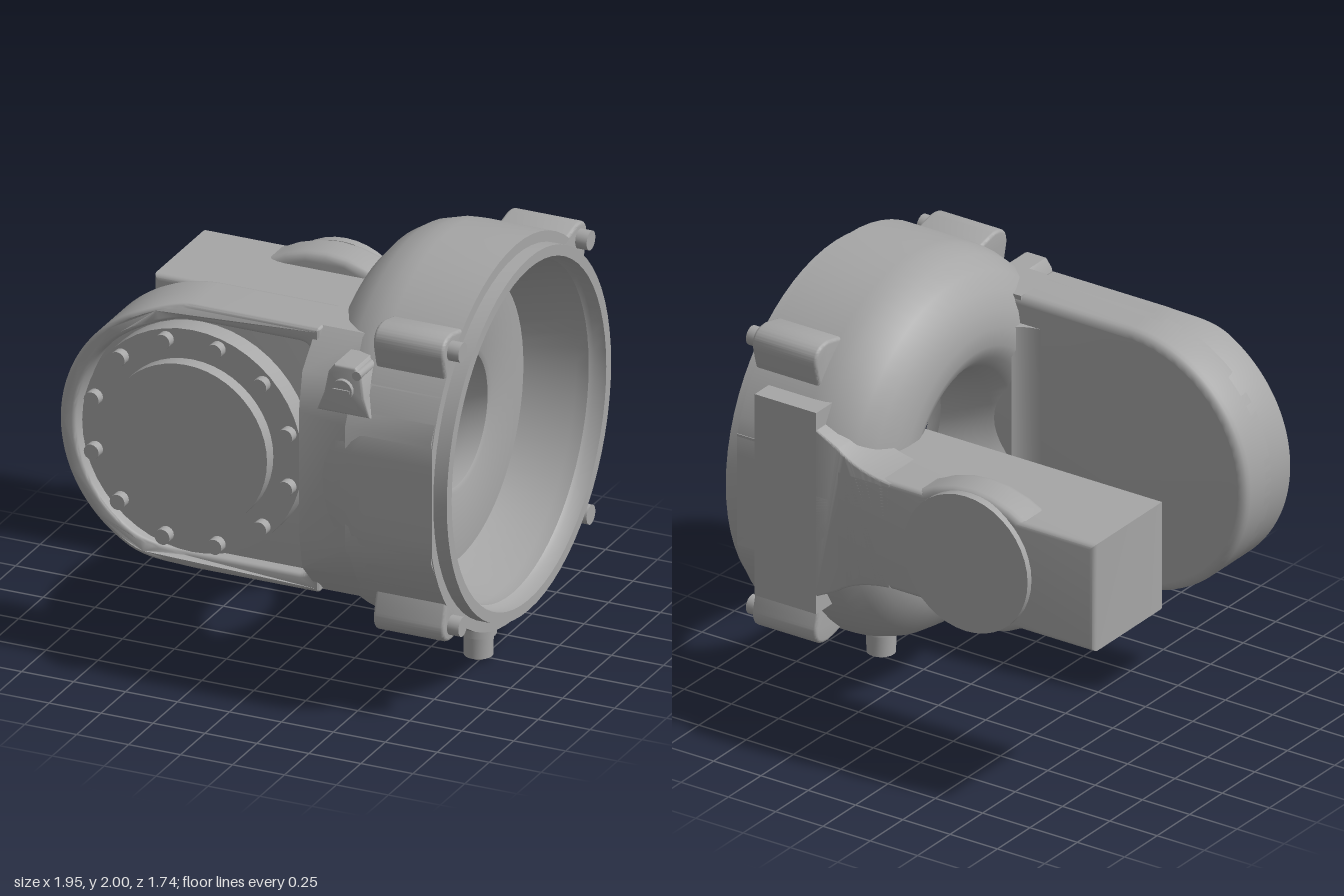
import * as THREE from 'three';
import { toCreasedNormals } from 'three/addons/utils/BufferGeometryUtils.js';

const CY = 1.11, CZ = 0.01; // axis of the round housing, running along x
const ARM_X = -0.32;        // shared axis of the two arm ends

export function createModel() {
  const model = new THREE.Group();
  model.name = 'wristHousing';
  const castMetal = new THREE.MeshStandardMaterial({ color: 0xa6a6a6 });
  castMetal.name = 'castMetal';

  const add = (name, geo, angle = 0.6) => {
    const mesh = new THREE.Mesh(toCreasedNormals(geo, angle), castMetal);
    mesh.name = name;
    model.add(mesh);
    return mesh;
  };
  const poly = pts => new THREE.Shape(pts.map(p => new THREE.Vector2(p[0], p[1])));

  // Extrude a front-facing (x, y) shape between two z values
  const extrudeZ = (shape, z0, z1, b = 0) => {
    const g = new THREE.ExtrudeGeometry(shape, {
      depth: z1 - z0 - 2 * b, curveSegments: 32, bevelEnabled: b > 0,
      bevelSize: b, bevelOffset: -b, bevelThickness: b, bevelSegments: 3,
    });
    return g.translate(0, 0, z0 + b);
  };
  // Extrude a shape drawn as (-z, y) about the housing axis between two x values
  const extrudeX = (shape, x0, x1, b = 0) =>
    extrudeZ(shape, x0, x1, b).rotateY(Math.PI / 2).translate(0, CY, CZ);

  const cylZ = (r, x, y, z0, z1, n = 32) =>
    new THREE.CylinderGeometry(r, r, z1 - z0, n).rotateX(Math.PI / 2).translate(x, y, (z0 + z1) / 2);
  const cylX = (r, y, z, x0, x1, n = 20) =>
    new THREE.CylinderGeometry(r, r, x1 - x0, n).rotateZ(-Math.PI / 2).translate((x0 + x1) / 2, y, z);
  const cylY = (rTop, rBottom, x, z, y0, y1) =>
    new THREE.CylinderGeometry(rTop, rBottom, y1 - y0, 24).translate(x, (y0 + y1) / 2, z);

  // Round housing: closed (radius, x) profile with a flared bore, rounded back and front cavity
  const profile = [
    [0.31, 0.63], [0.31, 0.56], [0.325, 0.48], [0.35, 0.39], [0.39, 0.31], [0.44, 0.26], [0.5, 0.235],
    [0.58, 0.235], [0.66, 0.25], [0.74, 0.29], [0.81, 0.35], [0.86, 0.43], [0.885, 0.52], [0.89, 0.58],
    [0.89, 0.91], [0.84, 0.91], [0.84, 0.975], [0.79, 0.975], [0.785, 0.92], [0.77, 0.9],
    [0.77, 0.84], [0.665, 0.5], [0.655, 0.5], [0.655, 0.64], [0.33, 0.64], [0.31, 0.63],
  ].map(p => new THREE.Vector2(p[0], p[1]));
  const housing = new THREE.LatheGeometry(profile, 64).rotateZ(-Math.PI / 2).translate(0, CY, CZ);
  const hp = housing.attributes.position;
  for (let i = 0; i < hp.count; i++) hp.setZ(i, THREE.MathUtils.clamp(hp.getZ(i), -0.84, 0.865)); // flat sides
  add('housing', housing);

  // Screw lugs at the four corners
  for (const sy of [1, -1]) for (const sz of [1, -1]) {
    const lug = new THREE.Shape();
    lug.moveTo(sz * 0.69, sy * 0.49);
    lug.quadraticCurveTo(sz * 0.715, sy * 0.55, sz * 0.735, sy * 0.64);
    lug.quadraticCurveTo(sz * 0.745, sy * 0.73, sz * 0.64, sy * 0.73);
    lug.quadraticCurveTo(sz * 0.55, sy * 0.715, sz * 0.49, sy * 0.69);
    lug.lineTo(sz * 0.575, sy * 0.575);
    add('screwLug', extrudeX(lug, 0.57, 0.91, 0.015));
    add('lugScrew', cylX(0.045, CY + sy * 0.655, CZ + sz * 0.655, 0.9, 0.965));
  }

  // Front arm: stadium body with a raised rim around the recess
  const stadium = (r, right, corner) => {
    const s = new THREE.Shape();
    s.moveTo(right - corner, CY + r);
    s.lineTo(ARM_X, CY + r);
    s.absarc(ARM_X, CY, r, Math.PI / 2, Math.PI * 1.5, false);
    s.lineTo(right - corner, CY - r);
    s.quadraticCurveTo(right, CY - r, right, CY - r + corner);
    s.lineTo(right, CY + r - corner);
    s.quadraticCurveTo(right, CY + r, right - corner, CY + r);
    return s;
  };
  add('frontArm', extrudeZ(stadium(0.63, 0.42, 0.03), 0.365, 0.6, 0.04));
  const rimShape = stadium(0.63, 0.27, 0.01);
  rimShape.holes.push(stadium(0.555, 0.23, 0.06));
  const rim = extrudeZ(rimShape, 0.5, 0.72, 0.018);
  const rp = rim.attributes.position;
  for (let i = 0; i < rp.count; i++) { // the rim dips toward the housing
    if (rp.getZ(i) > 0.65) rp.setZ(i, rp.getZ(i) - 0.06 * THREE.MathUtils.smoothstep(rp.getX(i), -0.62, -0.36));
  }
  add('frontArmRim', rim, 0.9);

  // Fillet between the front arm and the back of the housing
  const fillet = new THREE.Shape();
  fillet.moveTo(0.08, -0.37);
  fillet.quadraticCurveTo(0.2, -0.365, 0.25, -0.31);
  fillet.lineTo(0.26, -0.4);
  fillet.lineTo(0.08, -0.4);
  add('armFillet', new THREE.ExtrudeGeometry(fillet, { depth: 1, bevelEnabled: false })
    .rotateX(-Math.PI / 2).translate(0, CY - 0.5, 0));

  // Bearing cover and its ring of bolts
  add('coverFlange', cylZ(0.53, ARM_X, CY, 0.59, 0.70, 48));
  add('coverDisc', cylZ(0.39, ARM_X, CY, 0.69, 0.765, 48));
  for (let i = 0; i < 12; i++) {
    const a = (i + 0.5) * Math.PI / 6;
    add('coverBolt', cylZ(0.036, ARM_X + 0.482 * Math.cos(a), CY + 0.482 * Math.sin(a), 0.69, 0.745, 16));
  }

  // Faceted shoulder joining the front arm to the housing, and its flat run to the flange
  const shoulder = extrudeX(poly([
    [-0.36, 0.63], [-0.6, 0.63], [-0.755, 0.47], [-0.85, 0.29],
    [-0.85, -0.29], [-0.755, -0.47], [-0.6, -0.63], [-0.36, -0.63],
  ]), 0.24, 0.5);
  const sp = shoulder.attributes.position;
  for (let i = 0; i < sp.count; i++) { // lean the front edge back
    if (sp.getX(i) < 0.3 && sp.getZ(i) > 0.8) sp.setZ(i, 0.8);
  }
  add('shoulder', shoulder);
  add('shoulderFlat', extrudeX(poly([
    [-0.6, 0.63], [-0.755, 0.47], [-0.85, 0.29], [-0.85, -0.29], [-0.755, -0.47], [-0.6, -0.63],
    [-0.57, -0.6], [-0.7, -0.44], [-0.79, -0.25], [-0.825, 0], [-0.79, 0.25], [-0.7, 0.44], [-0.57, 0.6],
  ]), 0.49, 0.905));

  // Small bracket with a slotted screw
  add('bracket', extrudeZ(poly([
    [0.345, 1.45], [0.605, 1.45], [0.575, 1.54], [0.56, 1.64], [0.53, 1.68],
    [0.43, 1.68], [0.4, 1.64], [0.38, 1.54],
  ]), 0.6, 0.845, 0.012));
  add('bracketScrew', cylZ(0.05, 0.475, 1.57, 0.84, 0.865, 20));
  add('bracketScrewSlot', new THREE.BoxGeometry(0.08, 0.014, 0.008).translate(0.475, 1.57, 0.868));
  add('bracketPin', cylZ(0.022, 0.54, 1.645, 0.7, 0.85, 12));

  // Back arm: straight bar with a bulged boss and round end cap
  const bar = poly([[-0.978, CY - 0.26], [0.4, CY - 0.26], [0.4, CY + 0.26], [-0.978, CY + 0.26]]);
  add('backArm', extrudeZ(bar, -0.84, -0.3, 0.025));
  const half = [[-0.3, 0.25], [-0.25, 0.27], [-0.2, 0.295], [-0.1, 0.325], [0, 0.335],
    [0.1, 0.325], [0.2, 0.295], [0.25, 0.27], [0.3, 0.25]];
  const bulge = [...half, ...half.map(([x, y]) => [-x, -y])];
  add('backBoss', extrudeZ(poly(bulge), -0.84, -0.65, 0.035).translate(ARM_X, CY, 0));
  add('backCap', cylZ(0.328, ARM_X, CY, -0.87, -0.83, 40));

  // Flare from the bar into the wide back pad
  const flare = new THREE.Shape();
  flare.moveTo(0.1, CY - 0.255);
  flare.quadraticCurveTo(0.28, CY - 0.27, 0.38, CY - 0.35);
  flare.lineTo(0.5, CY - 0.41);
  flare.lineTo(0.5, CY + 0.41);
  flare.lineTo(0.38, CY + 0.35);
  flare.quadraticCurveTo(0.28, CY + 0.27, 0.1, CY + 0.255);
  add('backFlare', extrudeZ(flare, -0.84, -0.58, 0.01));
  add('backPad', extrudeX(poly([
    [0.85, 0.49], [0.66, 0.49], [0.73, 0.4], [0.805, 0.2], [0.82, 0],
    [0.805, -0.2], [0.73, -0.4], [0.66, -0.49], [0.85, -0.49],
  ]), 0.49, 0.815));
  add('backTab', new THREE.BoxGeometry(0.12, 0.54, 0.04).translate(0.85, CY, -0.82));

  // Drain fitting underneath
  add('drainCollar', cylY(0.08, 0.08, 0.735, 0.015, 0.12, 0.28));
  add('drainPlug', cylY(0.067, 0.065, 0.735, 0.015, 0.018, 0.13));
  add('drainTip', cylY(0.06, 0.03, 0.735, 0.015, 0, 0.02));

  return model;
}
